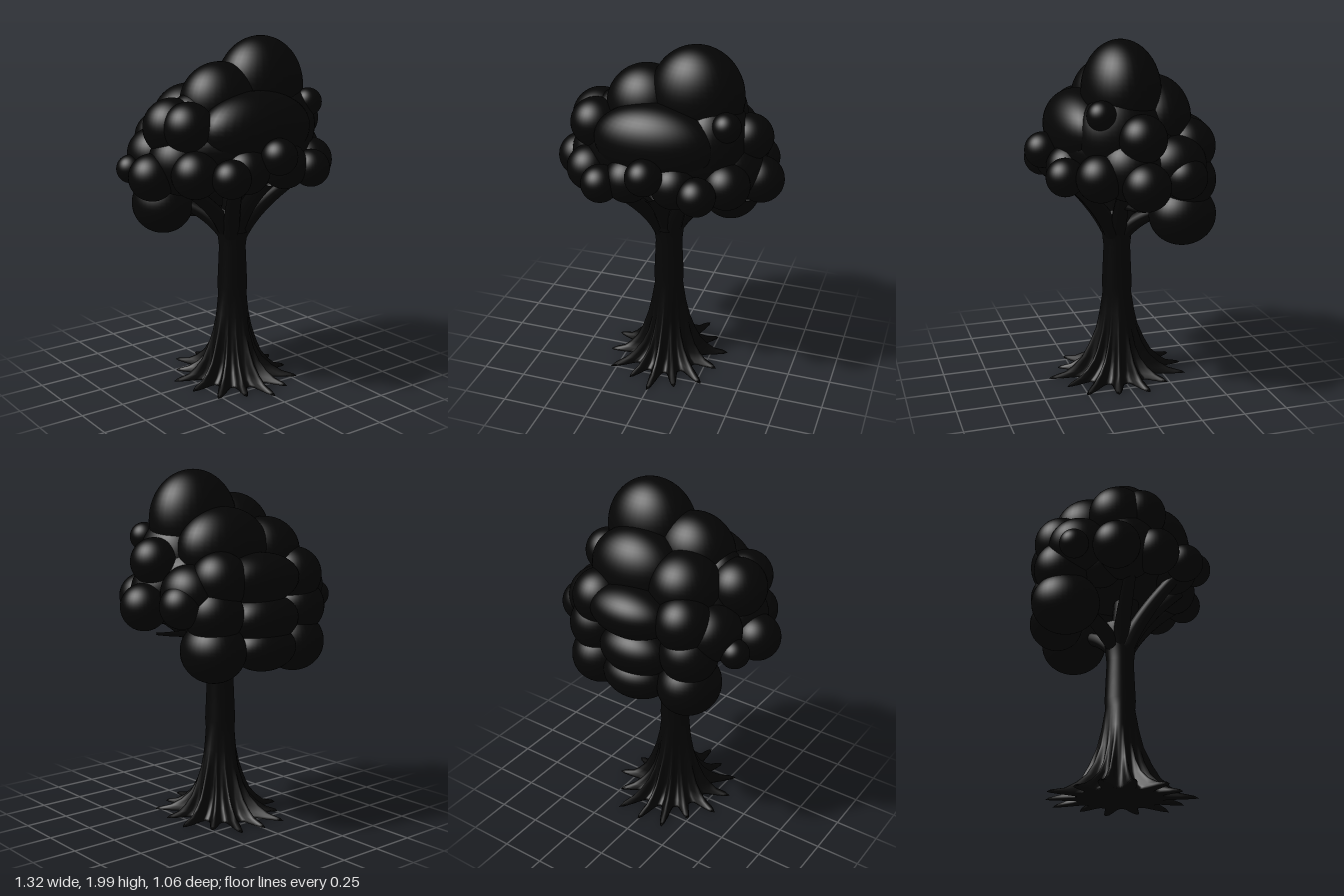
import * as THREE from 'three';

const bark = new THREE.MeshStandardMaterial({ color: 0x050505 });
const leaf = new THREE.MeshStandardMaterial({ color: 0x050505 });
const ball = new THREE.SphereGeometry(1, 40, 28);

// Trunk: stacked rings, round at the top and star-shaped where the roots spread
function trunkGeometry() {
  // y, radius between roots, extra radius along roots, four-sided flare
  const rings = [
    [0.015, 0.22, 0.17, 0], [0.028, 0.215, 0.155, 0], [0.045, 0.19, 0.11, 0], [0.08, 0.165, 0.08, 0.01],
    [0.13, 0.142, 0.05, 0.015], [0.2, 0.128, 0.024, 0.018], [0.3, 0.11, 0.006, 0.013], [0.4, 0.097, 0, 0.007],
    [0.52, 0.083, 0, 0], [0.57, 0.087, 0, 0], [0.8, 0.077, 0, 0], [0.92, 0.09, 0, 0], [1.02, 0.11, 0, 0],
  ];
  const seg = 168, roots = 14, pos = [], idx = [];
  for (const [y, valley, extra, flare] of rings) {
    for (let i = 0; i < seg; i++) {
      const a = (i / seg) * Math.PI * 2;
      const k = Math.round((i / seg) * roots) % roots;
      const length = 1 - 0.28 * Math.abs(Math.sin(k * 2.3)) * (k % 2);
      const ridge = Math.pow(0.5 + 0.5 * Math.cos(a * roots), 2.2);
      const r = valley + extra * ridge * length + flare * Math.cos(a * 4);
      const squash = Math.max(1 - y / 0.3, 0) * 0.08;
      pos.push(Math.sin(a) * r * (1 - squash), y, Math.cos(a) * r * (1 + squash));
    }
  }
  for (let j = 0; j < rings.length - 1; j++) {
    for (let i = 0; i < seg; i++) {
      const a = j * seg + i, b = j * seg + ((i + 1) % seg);
      idx.push(a, b, b + seg, a, b + seg, a + seg);
    }
  }
  // Underside and top caps
  const top = (rings.length - 1) * seg, c = pos.length / 3;
  pos.push(0, 0.01, 0, 0, 1.06, 0);
  for (let i = 0; i < seg; i++) {
    const n = (i + 1) % seg;
    idx.push(c, n, i, c + 1, top + i, top + n);
  }
  const g = new THREE.BufferGeometry();
  g.setAttribute('position', new THREE.Float32BufferAttribute(pos, 3));
  g.setIndex(idx);
  g.computeVertexNormals();
  return g;
}

// Curved limb from the trunk to an end point, narrowing from r0 to r1
function limb(start, bend, end, r0, r1) {
  const curve = new THREE.QuadraticBezierCurve3(...[start, bend, end].map((p) => new THREE.Vector3(...p)));
  const rows = 16, sides = 12;
  const g = new THREE.TubeGeometry(curve, rows, 1, sides);
  const p = g.attributes.position, v = new THREE.Vector3();
  for (let i = 0; i <= rows; i++) {
    const c = curve.getPointAt(i / rows), r = THREE.MathUtils.lerp(r0, r1, i / rows);
    for (let j = 0; j <= sides; j++) {
      const n = i * (sides + 1) + j;
      v.fromBufferAttribute(p, n).sub(c).multiplyScalar(r).add(c);
      p.setXYZ(n, v.x, v.y, v.z);
    }
  }
  g.computeVertexNormals();
  const m = new THREE.Mesh(g, bark);
  m.name = 'branch';
  return m;
}

function clump(name, x, y, z, rx, ry = rx, rz = rx) {
  const m = new THREE.Mesh(ball, leaf);
  m.name = name;
  m.position.set(x, y, z);
  m.scale.set(rx, ry, rz);
  return m;
}

export function createModel() {
  const tree = new THREE.Group();
  tree.name = 'tree';
  const trunk = new THREE.Mesh(trunkGeometry(), bark);
  trunk.name = 'trunkAndRoots';
  tree.add(trunk);

  // Branches fanning out under the crown
  const branches = new THREE.Group();
  branches.name = 'branches';
  for (const s of [-1, 1]) {
    branches.add(
      limb([s * 0.03, 0.88, 0.03], [s * 0.08, 1.06, 0.11], [s * 0.2, 1.24, 0.32], 0.05, 0.035),
      limb([s * 0.03, 0.88, 0], [s * 0.12, 1.06, 0.02], [s * 0.4, 1.22, 0.08], 0.05, 0.03),
      limb([s * 0.03, 0.88, -0.02], [s * 0.1, 1.02, -0.12], [s * 0.28, 1.08, -0.26], 0.05, 0.03),
    );
  }
  branches.add(
    limb([0, 0.88, 0.03], [0, 1.07, 0.1], [0, 1.25, 0.34], 0.05, 0.04),
    limb([0, 0.9, 0.02], [0, 1.1, 0.03], [0, 1.3, 0.04], 0.08, 0.07),
    limb([0.2, 1.09, 0.03], [0.34, 1.1, 0], [0.47, 1.12, -0.02], 0.022, 0.006),
  );
  tree.add(branches);

  const foliage = new THREE.Group();
  foliage.name = 'foliage';
  tree.add(foliage);

  // Large leaf masses: centre and three radii
  const masses = [
    [0.17, 1.72, 0.03, 0.26, 0.28, 0.215], [-0.11, 1.64, 0.03, 0.23, 0.23, 0.2],
    [0.12, 1.57, -0.17, 0.28, 0.23, 0.2], [-0.18, 1.55, -0.17, 0.2, 0.19, 0.2],
    [0, 1.42, 0, 0.48, 0.25, 0.38], [0.27, 1.5, 0.06, 0.2, 0.25, 0.24],
    [0, 1.51, 0.22, 0.35, 0.21, 0.19], [0.03, 1.42, -0.37, 0.25, 0.14, 0.16],
    [0, 1.2, -0.37, 0.22, 0.14, 0.15], [0, 1.04, -0.37, 0.2, 0.13, 0.15],
  ];
  for (const m of masses) foliage.add(clump('leafMass', ...m));

  // Mirrored clumps: centre, radius and stretch in z
  const pairs = [
    [0.53, 1.27, 0, 0.13, 1], [0.27, 1.29, 0.37, 0.105, 1], [0.39, 1.3, 0.21, 0.13, 1],
    [0.13, 1.31, 0.31, 0.13, 1], [0.37, 1.34, 0.04, 0.18, 1], [0.38, 1.35, -0.21, 0.155, 1.1],
    [0.27, 1.42, -0.32, 0.155, 1], [0.3, 1.24, -0.31, 0.16, 1], [0.29, 1.04, -0.29, 0.172, 1.1],
    [0.3, 1.26, -0.1, 0.12, 1],
  ];
  for (const [x, y, z, r, stretch] of pairs) {
    for (const s of [-1, 1]) foliage.add(clump('sideClump', s * x, y, z, r, r, r * stretch));
  }

  // Single round clumps: centre and radius
  const singles = [
    [-0.4, 1.53, 0, 0.16], [-0.28, 1.58, 0.02, 0.13], [-0.38, 1.54, 0.13, 0.14],
    [0.46, 1.51, 0, 0.13], [0.38, 1.63, 0.2, 0.08], [0.46, 1.29, -0.24, 0.12],
    [-0.53, 1.28, -0.23, 0.08], [0, 1.39, 0.43, 0.1],
  ];
  for (const m of singles) foliage.add(clump('roundClump', ...m));
  return tree;
}
